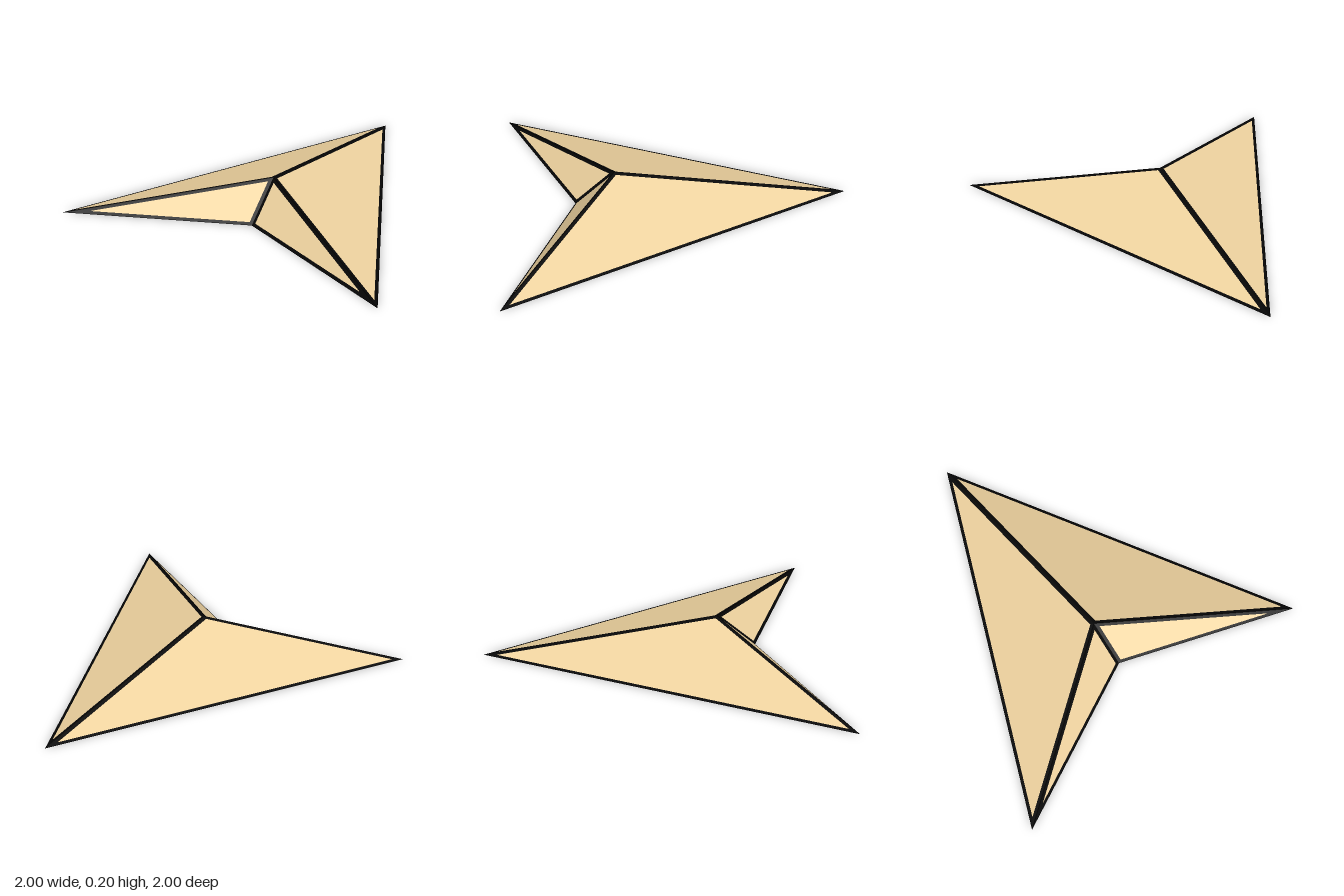
import * as THREE from 'three';

const BORDER = 0.019;

export function createModel() {
  const model = new THREE.Group();
  model.name = 'arrowheadGlider';
  const tan = new THREE.MeshStandardMaterial({ color: 0xf0d4a0, flatShading: true });
  const black = new THREE.MeshStandardMaterial({ color: 0x050505, flatShading: true });

  const nose = new THREE.Vector3(0, 0, -1);
  const apex = new THREE.Vector3(0, 0.2, 0.36);
  const notch = new THREE.Vector3(0, 0, 0.59);
  const keel = new THREE.Vector3(0, 0, 0.36);
  const tip = new THREE.Vector3(1, 0, 1);

  function addMesh(group, name, points, material) {
    const geometry = new THREE.BufferGeometry().setFromPoints(points);
    geometry.computeVertexNormals();
    const mesh = new THREE.Mesh(geometry, material);
    mesh.name = name;
    group.add(mesh);
  }

  // A triangular facet: coloured panel inset by an even margin, dark band around it
  function addFacet(name, corners, side, bordered) {
    const p = corners.map((v) => new THREE.Vector3(v.x * side, v.y, v.z));
    if (side < 0) p.reverse();
    const group = new THREE.Group();
    group.name = name;
    model.add(group);
    if (!bordered) {
      addMesh(group, 'panel', p, tan);
      return;
    }
    const lengths = p.map((_, i) => p[(i + 1) % 3].distanceTo(p[(i + 2) % 3]));
    const perimeter = lengths[0] + lengths[1] + lengths[2];
    const centre = new THREE.Vector3();
    p.forEach((v, i) => centre.addScaledVector(v, lengths[i] / perimeter));
    const inradius = (2 * new THREE.Triangle(...p).getArea()) / perimeter;
    const inner = p.map((v) => v.clone().lerp(centre, BORDER / inradius));
    const band = [];
    for (let i = 0; i < 3; i++) {
      const j = (i + 1) % 3;
      band.push(p[i], p[j], inner[j], p[i], inner[j], inner[i]);
    }
    addMesh(group, 'panel', inner, tan);
    addMesh(group, 'border', band, black);
  }

  // Mirrored halves: sloping wing, hollow front and flat underside
  for (const side of [1, -1]) {
    const label = side > 0 ? 'left' : 'right';
    addFacet(label + 'Wing', [nose, apex, tip], side, true);
    addFacet(label + 'Front', [notch, tip, apex], side, true);
    addFacet(label + 'Underside', [nose, tip, keel], side, side < 0);
    addFacet(label + 'FrontUnderside', [keel, tip, notch], side, side < 0);
  }
  return model;
}
